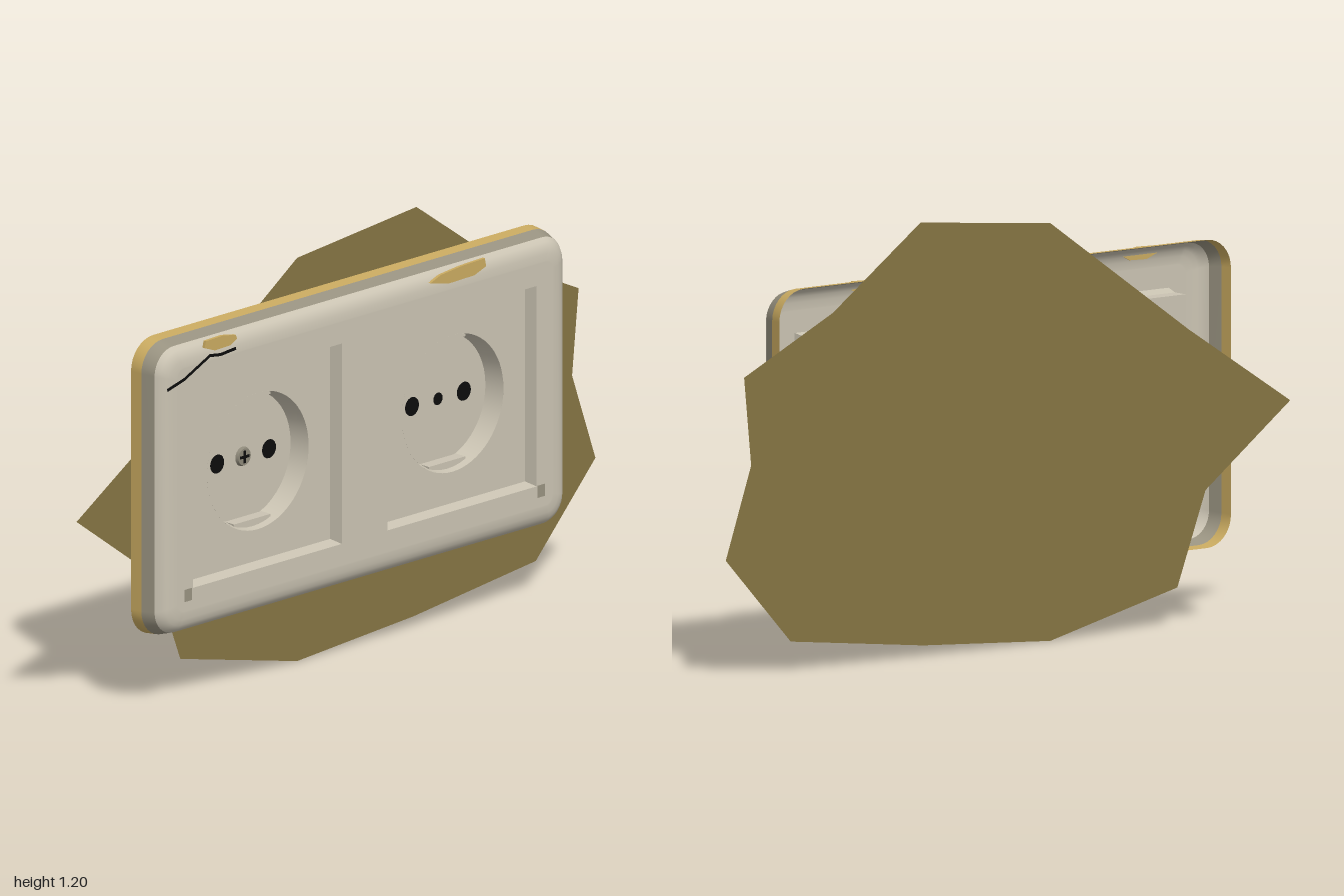
import * as THREE from 'three';

const material = (name, color, side = THREE.DoubleSide) => {
  const m = new THREE.MeshStandardMaterial({ color, side });
  m.name = name;
  return m;
};

// Counter-clockwise rounded rectangle outline, [x, y] pairs
function roundedOutline(cx, cy, hw, hh, r, steps = 8) {
  const pts = [];
  [[1, 1], [-1, 1], [-1, -1], [1, -1]].forEach(([sx, sy], q) => {
    for (let i = 0; i <= steps; i++) {
      const a = (q + i / steps) * Math.PI / 2;
      pts.push([cx + sx * (hw - r) + r * Math.cos(a), cy + sy * (hh - r) + r * Math.sin(a)]);
    }
  });
  return pts;
}

// Skin through rings of equal point count; each ring is { pts, z }
function loft(rings, { closed = true, flat = false } = {}) {
  const n = rings[0].pts.length, pos = [], idx = [];
  rings.forEach(({ pts, z }) => pts.forEach(([x, y]) => pos.push(x, y, z)));
  for (let j = 0; j < rings.length - 1; j++) {
    for (let i = 0; i < (closed ? n : n - 1); i++) {
      const a = j * n + i, b = j * n + (i + 1) % n;
      idx.push(a, b, b + n, a, b + n, a + n);
    }
  }
  let g = new THREE.BufferGeometry();
  g.setAttribute('position', new THREE.Float32BufferAttribute(pos, 3));
  g.setIndex(idx);
  if (flat) g = g.toNonIndexed();
  g.computeVertexNormals();
  return g;
}

const shapeOf = pts => new THREE.Shape(pts.map(([x, y]) => new THREE.Vector2(x, y)));
const square = (cx, cy, h) => [[cx - h, cy - h], [cx + h, cy - h], [cx + h, cy + h], [cx - h, cy + h]];

export function createModel() {
  const cream = material('cream plastic', 0xcac3b2);
  const grey = material('grey grime', 0x989280);
  const yellow = material('yellowed plastic', 0xc9aa60);
  const wall = material('wall stain', 0x857443);
  const black = material('black', 0x0c0c0c);
  const steel = material('screw steel', 0x8c8778);

  // Built facing +z, then turned to face +x
  const model = new THREE.Group();
  model.name = 'doubleSocket';
  model.rotation.y = Math.PI / 2;
  const add = (name, geometry, mat, x = 0, y = 0, z = 0, parent = model) => {
    const mesh = new THREE.Mesh(geometry, mat);
    mesh.name = name;
    mesh.position.set(x, y, z);
    parent.add(mesh);
    return mesh;
  };
  const BACK = -0.053, FRONT = 0.05, PLATE = 0.013, FLOOR = -0.046;
  const CY = 0.635;
  const sockets = [{ x: -0.367, screw: true }, { x: 0.384, screw: false }];

  // Stain on the wall behind
  add('wallStain', new THREE.ShapeGeometry(shapeOf([
    [-1, 0.59], [-0.7, 0.37], [-0.6, 0.11], [-0.15, 0.005], [0.3, 0.035], [0.77, 0.09], [1, 0.335],
    [0.91, 0.59], [0.935, 0.835], [0.62, 0.985], [0.31, 1.205], [-0.15, 1.16], [-0.64, 0.82],
  ])), wall, 0, 0, BACK);

  // Hollow cover frame in three bands
  const ring = (z, inset) => ({
    z, pts: roundedOutline(0.01, CY, 0.8 - inset, 0.426 - inset, 0.085 - inset * 0.75),
  });
  add('frameBackBand', loft([ring(BACK, 0), ring(-0.017, 0.004)]), yellow);
  add('frameMiddleBand', loft([ring(-0.017, 0.004), ring(0.022, 0.016)]), grey);
  add('frameFrontBand', loft([
    ring(0.022, 0.016), ring(0.036, 0.026), ring(0.044, 0.039), ring(0.0485, 0.055), ring(FRONT, 0.074),
    ring(FRONT, 0.078),
  ]), cream);
  const face = shapeOf(ring(FRONT, 0.078).pts);
  sockets.forEach(s => face.holes.push(shapeOf(square(s.x, CY, 0.287))));
  add('frameFace', new THREE.ShapeGeometry(face), cream, 0, 0, FRONT);

  // Socket inserts
  for (const s of sockets) {
    const socket = new THREE.Group();
    socket.name = s.screw ? 'socketWithScrew' : 'socketWithoutScrew';
    socket.position.set(s.x, CY, 0);
    model.add(socket);
    const put = (name, g, m, x, y, z) => add(name, g, m, x, y, z, socket);

    // Sloping walls of the square opening; one side is broken open
    put('openingWalls', loft([
      { pts: square(0, 0, 0.279), z: PLATE }, { pts: square(0, 0, 0.287), z: FRONT },
    ], { closed: !s.screw, flat: true }), cream);

    // Plate with a round well
    const plate = shapeOf(square(0, 0, 0.279));
    plate.holes.push(new THREE.Path().absarc(0, 0.006, 0.196, 0, Math.PI * 2, true));
    put('insertPlate', new THREE.ExtrudeGeometry(plate, { depth: 0.045, bevelEnabled: false, curveSegments: 32 }),
      cream, 0, 0, PLATE - 0.045);
    const well = new THREE.CylinderGeometry(0.196, 0.185, PLATE - FLOOR, 48, 1, true).rotateX(Math.PI / 2);
    put('wellWall', well, cream, 0, 0.006, (PLATE + FLOOR) / 2);
    put('wellFloor', new THREE.CircleGeometry(0.186, 48), cream, 0, 0.006, FLOOR);

    // Earthing clips, top and bottom
    for (const side of [-1, 1]) {
      put('earthClip', new THREE.BoxGeometry(0.14, 0.022, 0.036), cream, 0, 0.006 + side * 0.183, -0.026);
      put('pinHole', new THREE.CircleGeometry(0.027, 20), black, side * 0.1, 0.006, FLOOR + 0.002);
    }

    // Centre screw or its empty hole
    if (s.screw) {
      put('screwHead', new THREE.CylinderGeometry(0.024, 0.028, 0.008, 20).rotateX(Math.PI / 2), steel,
        0, 0.006, FLOOR + 0.004);
      put('screwSlot', new THREE.BoxGeometry(0.036, 0.008, 0.002), black, 0, 0.006, FLOOR + 0.008);
      put('screwSlot', new THREE.BoxGeometry(0.008, 0.036, 0.002), black, 0, 0.006, FLOOR + 0.008);
    } else {
      put('screwHole', new THREE.CircleGeometry(0.018, 16), black, 0, 0.006, FLOOR + 0.002);
    }
  }

  // Small grey corner marks
  for (const x of [-0.673, 0.688]) {
    add('cornerMark', new THREE.PlaneGeometry(0.03, 0.035), grey, x, 0.332, FRONT + 0.001);
  }

  // Chipped spots on the top edge
  const chips = [
    [[-0.61, 1.025], [-0.57, 1.01], [-0.51, 1.012], [-0.485, 1.025], [-0.49, 1.037], [-0.54, 1.046], [-0.605, 1.044]],
    [[0.26, 1.02], [0.33, 1.004], [0.43, 1.006], [0.475, 1.022], [0.47, 1.046], [0.38, 1.043], [0.3, 1.035]],
  ];
  for (const c of chips) {
    add('chip', new THREE.ExtrudeGeometry(shapeOf(c), { depth: 0.009, bevelEnabled: false }), yellow, 0, 0, 0.0425);
  }

  // Crack across the corner
  const upper = [[-0.755, 0.94], [-0.69, 0.957], [-0.59, 1.004], [-0.55, 0.998], [-0.49, 1.003]];
  const lower = upper.map(([x, y]) => [x + 0.002, y - 0.009]).reverse();
  add('crack', new THREE.ShapeGeometry(shapeOf([...upper, ...lower])), black, 0, 0, FRONT + 0.0015);

  const root = new THREE.Group();
  root.name = 'wornDoubleSocket';
  root.add(model);
  return root;
}
